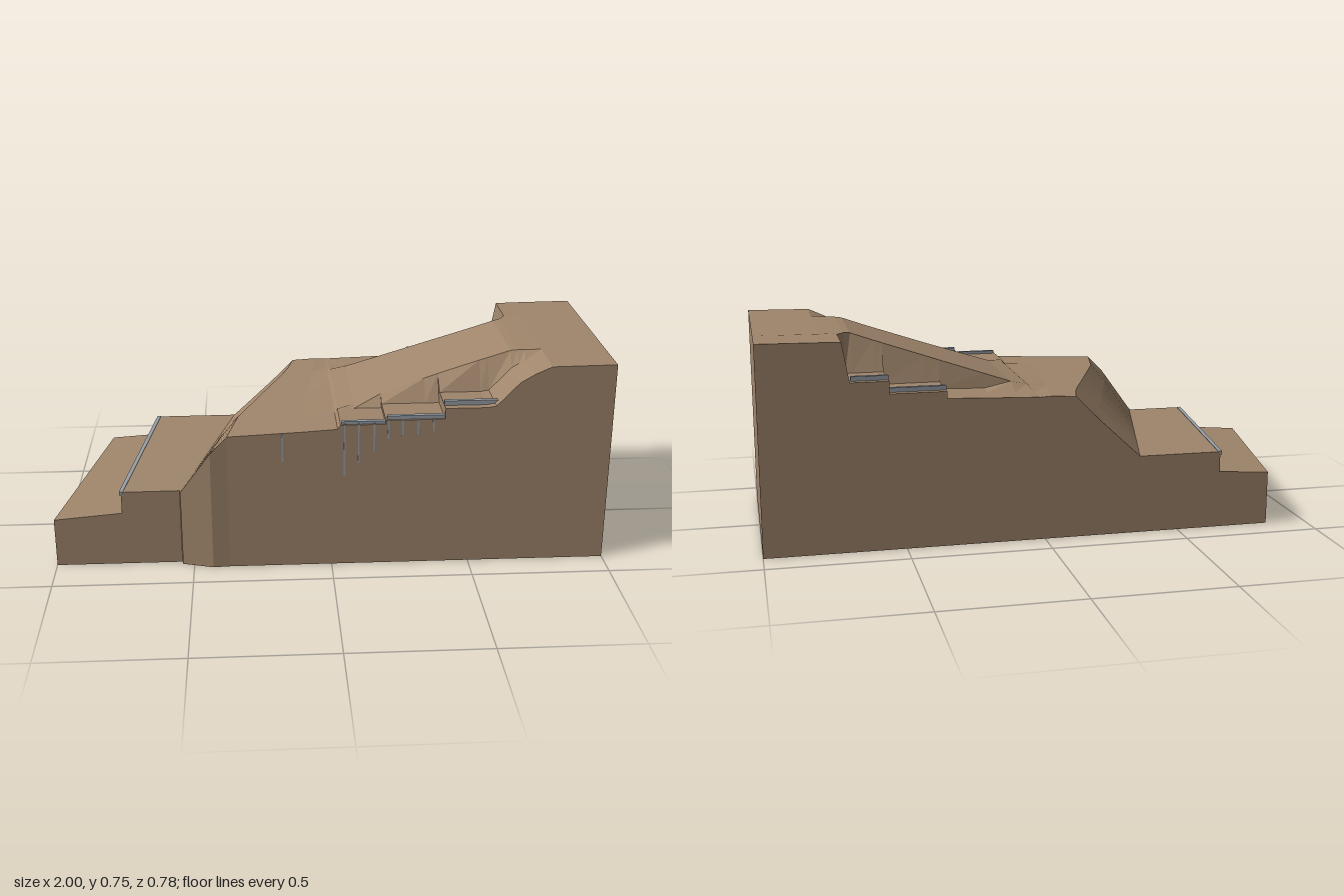
import * as THREE from 'three';

const earth = new THREE.MeshStandardMaterial({ color: 0xa0866c, flatShading: true, side: THREE.DoubleSide });
const steel = new THREE.MeshStandardMaterial({ color: 0x98a0a8 });
const { lerp, clamp } = THREE.MathUtils;
const BACK = -0.39, FRONT = 0.386;

// Hill columns: x, then height in the back, ridge and front zones (repeated x = terrace step)
const HILL = [
  [0.02, 0.523, 0.532, 0.530], [0.03, 0.524, 0.537, 0.545], [0.09, 0.526, 0.550, 0.545],
  [0.19, 0.529, 0.583, 0.545], [0.19, 0.529, 0.583, 0.560], [0.35, 0.535, 0.636, 0.560],
  [0.35, 0.560, 0.636, 0.560], [0.40, 0.560, 0.653, 0.560], [0.40, 0.560, 0.653, 0.600],
  [0.55, 0.560, 0.703, 0.600], [0.55, 0.605, 0.703, 0.600], [0.58, 0.605, 0.713, 0.605],
  [0.66, 0.605, 0.741, 0.690], [0.685, 0.605, 0.744, 0.705], [0.71, 0.745, 0.745, 0.720],
  [0.77, 0.747, 0.748, 0.747], [1.00, 0.750, 0.750, 0.750],
];
// Crest of the bank, as [z, x]
const CREST = [[-0.39, -0.11], [-0.27, -0.14], [-0.1, -0.21], [0.2, -0.33], [0.386, -0.37]];

function crestX(z) {
  let i = 0;
  while (i < CREST.length - 2 && z > CREST[i + 1][0]) i++;
  const [a, b] = [CREST[i], CREST[i + 1]];
  return lerp(a[1], b[1], (z - a[0]) / (b[0] - a[0]));
}

// Rows from back to front: depth as a function of x, and height zone (1 back, 2 ridge, 3 front)
const ramp = (x, a, b) => clamp((x - a) / (b - a), 0, 1);
const ROWS = [
  [() => BACK, 1], [() => -0.30, 1], [() => -0.222, 1],
  [x => -0.22 + 0.045 * ramp(x, 0.09, 0.66) * (1 - ramp(x, 0.66, 0.77)), 2],
  [() => -0.1, 2], [() => 0, 2], [() => 0.1, 2],
  [x => 0.2 - 0.03 * Math.sin(Math.PI * ramp(x, 0.03, 0.8)), 2],
  [() => 0.225, 3], [() => 0.30, 3], [() => FRONT, 3],
];

// One cross-section of the ground, from the low ledge up to the plateau
function section([depth, zone]) {
  const z0 = depth(-1), t = (z0 - BACK) / (FRONT - BACK);
  const foot = lerp(-0.34, -0.53, t), crest = crestX(z0), crestY = lerp(0.52, 0.51, t);
  const wall = lerp(-0.66, -0.755, t);
  const pts = [];
  const add = (x, y, front) =>
    pts.push(new THREE.Vector3(x, y, BACK + (depth(x) - BACK) * (front - BACK) / (FRONT - BACK)));
  add(lerp(-0.85, -1, t), lerp(0.197, 0.182, t), 0.34);
  add(wall, lerp(0.21, 0.203, t), 0.34);
  add(wall, 0.286, 0.34);
  add(foot - 0.015, 0.287, 0.34);
  add(foot - 0.012, 0.287, 0.357);
  add(lerp(foot, crest, 0.62), lerp(0.287, crestY, lerp(0.62, 0.72, t)), 0.39);
  add(crest, crestY, FRONT);
  for (const f of [0.33, 0.67]) add(lerp(crest, 0.02, f), lerp(crestY, 0.528, f), FRONT);
  for (const h of HILL) add(h[0], h[0] < 0.1 && depth(0) < -0.2 && depth(0) > -0.25 ? h[2] : h[zone], FRONT);
  return pts;
}

function terrainGeometry() {
  const top = ROWS.map(section);
  const drop = row => row.map(p => new THREE.Vector3(p.x, 0, p.z));
  const base = top.map(drop);
  const last = top.length - 1;
  const loop = [base[0], ...top, base[last], base[0]];
  const pos = [];
  const tri = (...ps) => ps.forEach(p => pos.push(p.x, p.y, p.z));
  // Back wall, ground, front wall and underside
  for (let i = 0; i < loop.length - 1; i++) {
    for (let j = 0; j < loop[i].length - 1; j++) {
      const a = loop[i][j], b = loop[i][j + 1], c = loop[i + 1][j], d = loop[i + 1][j + 1];
      tri(a, c, b);
      tri(b, c, d);
    }
  }
  // End walls
  const end = top[0].length - 1;
  for (let i = 0; i < last; i++) {
    tri(base[i][end], top[i][end], top[i + 1][end]);
    tri(base[i][end], top[i + 1][end], base[i + 1][end]);
    tri(base[i][0], top[i + 1][0], top[i][0]);
    tri(base[i][0], base[i + 1][0], top[i + 1][0]);
  }
  const geo = new THREE.BufferGeometry();
  geo.setAttribute('position', new THREE.Float32BufferAttribute(pos, 3));
  geo.computeVertexNormals();
  return geo;
}

function box(name, w, h, d, x, y, z) {
  const mesh = new THREE.Mesh(new THREE.BoxGeometry(w, h, d), steel);
  mesh.name = name;
  mesh.position.set(x, y, z);
  return mesh;
}

export function createModel() {
  const model = new THREE.Group();
  model.name = 'terracedHillside';
  const terrain = new THREE.Mesh(terrainGeometry(), earth);
  terrain.name = 'terrain';
  model.add(terrain);

  // Terrace edge beams: x start, x end, y centre, z
  const beams = [
    [0.035, 0.195, 0.547, 0.372], [0.195, 0.4, 0.565, 0.372], [0.4, 0.59, 0.608, 0.349],
    [0.35, 0.55, 0.567, -0.358], [0.55, 0.68, 0.612, -0.358],
  ];
  for (const [a, b, y, z] of beams) model.add(box('terraceBeam', b - a, 0.018, 0.016, (a + b) / 2, y, z));

  // Slender piles on the front face: x, top, bottom
  const piles = [
    [-0.175, 0.515, 0.41], [0.045, 0.55, 0.35], [0.095, 0.55, 0.4], [0.15, 0.55, 0.445],
    [0.2, 0.56, 0.49], [0.25, 0.56, 0.5], [0.305, 0.56, 0.505], [0.36, 0.56, 0.515],
  ];
  for (const [x, t, b] of piles) model.add(box('pile', 0.006, t - b, 0.006, x, (t + b) / 2, 0.385));

  // Capping beam and anchor heads along the lower retaining wall
  const wall = new THREE.Group();
  wall.name = 'retainingWall';
  wall.add(box('cappingBeam', 0.014, 0.014, 0.735, 0, 0.281, 0));
  for (let i = 0; i < 7; i++) wall.add(box('anchorHead', 0.012, 0.01, 0.008, -0.003, 0.25, -0.3 + i * 0.1));
  wall.position.set(-0.707, 0, -0.025);
  wall.rotation.y = -Math.atan2(0.095, 0.73);
  model.add(wall);
  return model;
}
